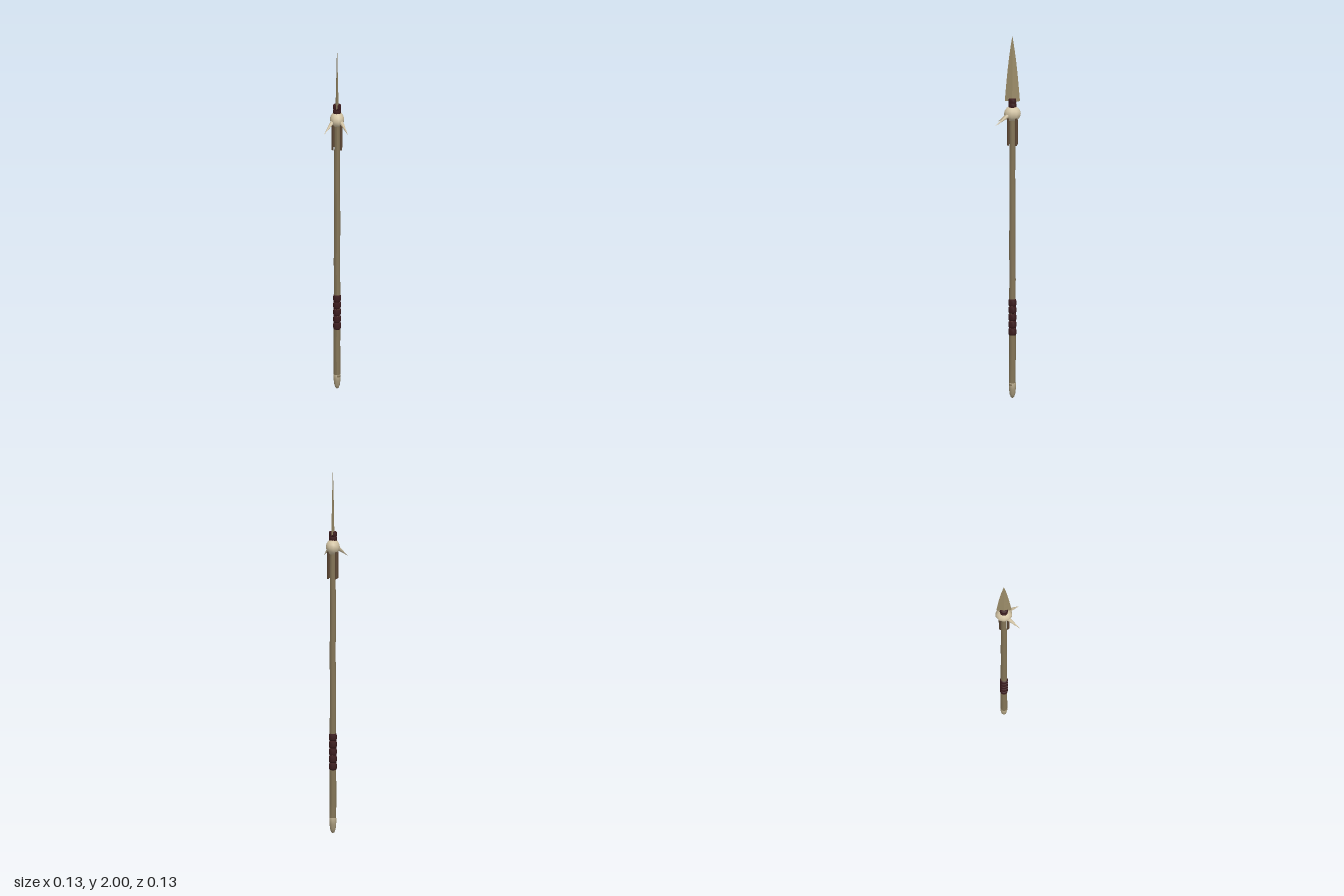
import * as THREE from 'three';

const AXIS_Z = -0.022;

export function createModel() {
  const model = new THREE.Group();
  model.name = 'spear';
  const spear = new THREE.Group();
  spear.name = 'spearBody';
  spear.position.z = AXIS_Z;
  model.add(spear);

  const material = (name, color, flatShading = false) => {
    const m = new THREE.MeshStandardMaterial({ color, flatShading });
    m.name = name;
    return m;
  };
  const wood = material('wood', 0x857658);
  const bladeStone = material('bladeStone', 0x9a8b68, true);
  const bone = material('bone', 0xd3c4a4);
  const buttBone = material('buttBone', 0xa89a7c);
  const leather = material('leather', 0x3c1c1e);
  const strap = material('strap', 0x5e4936);

  const add = (name, geometry, mat, y = 0) => {
    const mesh = new THREE.Mesh(geometry, mat);
    mesh.name = name;
    mesh.position.y = y;
    spear.add(mesh);
    return mesh;
  };
  const lathe = (points, sides) =>
    new THREE.LatheGeometry(points.map(([r, y]) => new THREE.Vector2(r, y)), sides);

  // Slightly uneven wooden shaft, thicker towards the butt
  const shaft = new THREE.CylinderGeometry(0.0155, 0.0185, 1.56, 8, 16);
  const p = shaft.attributes.position;
  for (let i = 0; i < p.count; i++) {
    const y = p.getY(i);
    p.setX(i, p.getX(i) + 0.001 * Math.sin(y * 13));
    p.setZ(i, p.getZ(i) + 0.001 * Math.cos(y * 17));
  }
  shaft.computeVertexNormals();
  add('shaft', shaft, wood, 0.85);

  // Rounded butt cap
  add('buttCap', lathe([[0, 0], [0.009, 0.006], [0.015, 0.022], [0.0185, 0.05], [0.0195, 0.085], [0, 0.085]], 8), buttBone);

  // Wound leather: bulging rings for the grip and for the blade lashing
  const ring = (r, h) => lathe(
    [[0, -h / 2], [r * 0.86, -h / 2], [r, -h * 0.28], [r, h * 0.28], [r * 0.86, h / 2], [0, h / 2]], 10);
  for (let i = 0; i < 5; i++) add('gripWrap', ring(0.0215, 0.0395), leather, 0.368 + i * 0.04);
  for (let i = 0; i < 2; i++) add('bladeLashing', ring(0.0225, 0.028), leather, 1.617 + i * 0.025);

  // Bone knob
  add('boneKnob', new THREE.SphereGeometry(1, 10, 8), bone, 1.571).scale.set(0.039, 0.043, 0.047);

  // Tusks pointing forward, outward and down
  for (const side of [-1, 1]) {
    const start = new THREE.Vector3(side * 0.021, 1.565, 0.02);
    const end = new THREE.Vector3(side * 0.066, 1.512, 0.065 - AXIS_Z);
    const direction = end.clone().sub(start);
    const tusk = add('tusk', new THREE.ConeGeometry(0.0125, direction.length(), 7), bone);
    tusk.position.copy(start).add(end).multiplyScalar(0.5);
    tusk.quaternion.setFromUnitVectors(new THREE.Vector3(0, 1, 0), direction.normalize());
  }

  // Four leather straps hanging under the knob
  for (let i = 0; i < 4; i++) {
    const angle = Math.PI / 4 + i * Math.PI / 2;
    const hanging = add('hangingStrap', new THREE.BoxGeometry(0.012, 0.16, 0.004), strap, 1.478);
    hanging.position.x = 0.032 * Math.sin(angle);
    hanging.position.z = 0.032 * Math.cos(angle);
    hanging.rotation.y = angle;
  }

  // Diamond-section blade, broad in z and thin in x, curving to a point
  const blade = new THREE.CylinderGeometry(1, 1, 0.36, 4, 8);
  const b = blade.attributes.position;
  for (let i = 0; i < b.count; i++) {
    const t = b.getY(i) / 0.36 + 0.5;
    const width = 0.0415 * (1 - 0.72 * t - 0.28 * t ** 3);
    const thickness = 0.0085 * (1 - t);
    b.setX(i, b.getX(i) * thickness);
    b.setZ(i, b.getZ(i) * width);
  }
  blade.computeVertexNormals();
  add('blade', blade, bladeStone, 1.82);

  return model;
}
